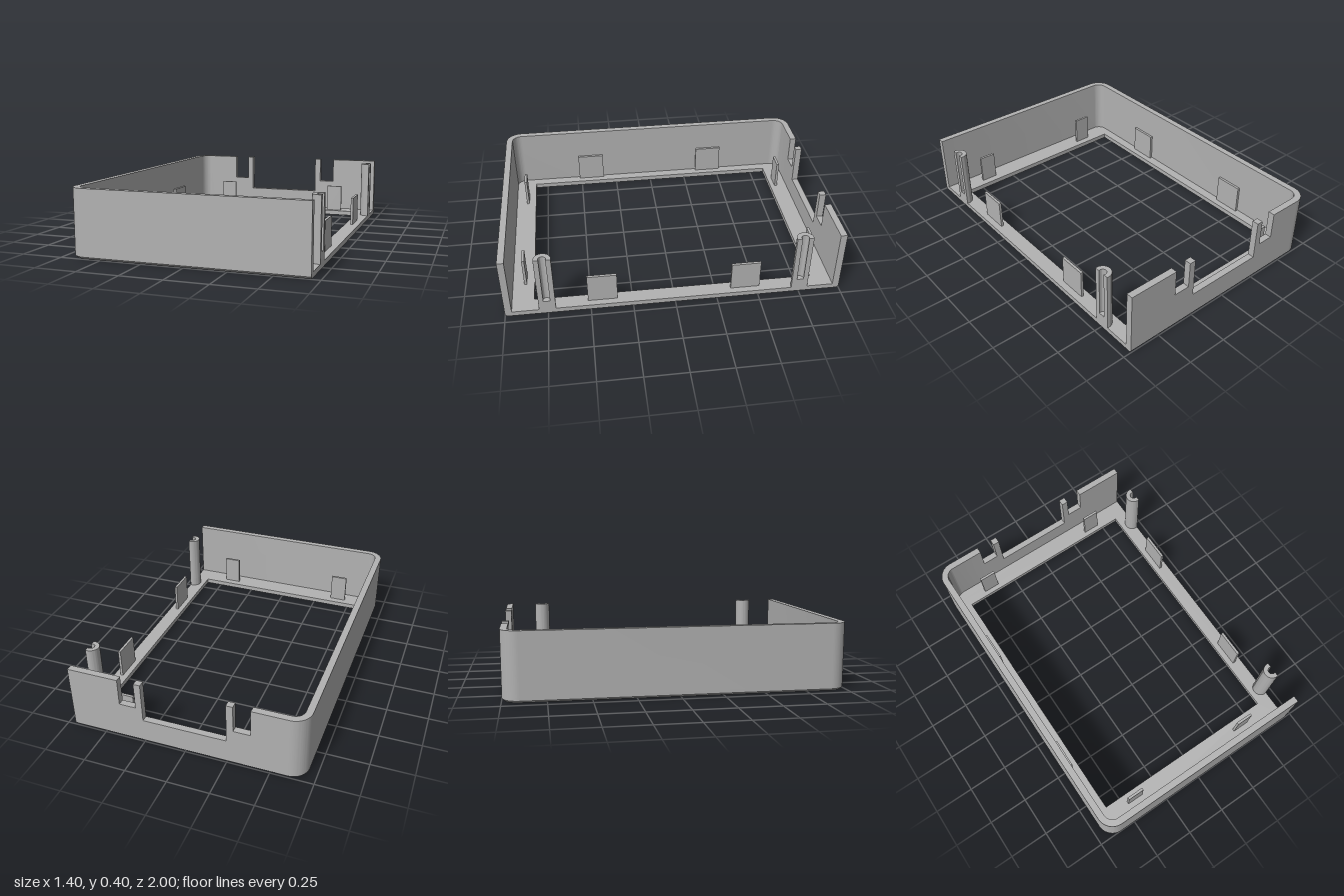
import * as THREE from 'three';
import { toCreasedNormals } from 'three/addons/utils/BufferGeometryUtils.js';

const H = 0.4, FLOOR = 0.03, CHAMFER = 0.012;
const CX = -0.6, CZ = 0.9, R = 0.1, RI = 0.06; // rounded corner centres and radii

// Extrude a plan shape (shape y = -z) upward from y0 to y1
function extrudeUp(shape, y0, y1) {
  const g = new THREE.ExtrudeGeometry(shape, { depth: y1 - y0, bevelEnabled: false, curveSegments: 16 });
  g.rotateX(-Math.PI / 2);
  g.translate(0, y0, 0);
  return g;
}

function polygon(points) {
  return new THREE.Shape(points.map(([x, y]) => new THREE.Vector2(x, y)));
}

// Frame plan: two rounded corners on one side, straight cut on the other, large window
function framePlan() {
  const s = new THREE.Shape();
  s.moveTo(0.7, -1);
  s.lineTo(CX, -1);
  s.absarc(CX, -CZ, R, -Math.PI / 2, -Math.PI, true);
  s.absarc(CX, CZ, R, Math.PI, Math.PI / 2, true);
  s.lineTo(0.7, 1);
  s.closePath();
  s.holes.push(polygon([[-0.6, -0.83], [0.608, -0.83], [0.608, 0.845], [-0.6, 0.845]]));
  return s;
}

// Wall plan: front, rounded side and the start of the back
function wallPlan() {
  const s = new THREE.Shape();
  s.moveTo(0.7, -1);
  s.lineTo(CX, -1);
  s.absarc(CX, -CZ, R, -Math.PI / 2, -Math.PI, true);
  s.absarc(CX, CZ, R, Math.PI, Math.PI / 2, true);
  s.lineTo(-0.39, 1);
  s.lineTo(-0.39, 0.96);
  s.absarc(CX, CZ, RI, Math.PI / 2, Math.PI, false);
  s.absarc(CX, -CZ, RI, Math.PI, Math.PI * 1.5, false);
  s.lineTo(0.7, -0.96);
  s.closePath();
  return s;
}

// Round post cut flat on its outer side, optionally with an open bore
function postPlan(bored) {
  const cut = 0.01, r = 0.05, bore = 0.022;
  const a = Math.acos(cut / r), b = Math.acos(cut / bore);
  const s = new THREE.Shape();
  s.absarc(0, 0, r, a, Math.PI * 2 - a, false);
  if (bored) s.absarc(0, 0, bore, Math.PI * 2 - b, b, true);
  s.closePath();
  return s;
}

export function createModel() {
  const group = new THREE.Group();
  group.name = 'halfEnclosure';
  const grey = new THREE.MeshStandardMaterial({ color: 0xb2b2b2 });
  grey.name = 'grey plastic';

  const add = (name, geometry, x = 0, y = 0, z = 0) => {
    const m = new THREE.Mesh(toCreasedNormals(geometry, 0.5), grey);
    m.name = name;
    m.position.set(x, y, z);
    group.add(m);
  };

  // Floor frame with a chamfered lower edge
  add('floorFrame', extrudeUp(framePlan(), CHAMFER, FLOOR));
  const edge = extrudeUp(framePlan(), 0, CHAMFER);
  const p = edge.attributes.position;
  for (let i = 0; i < p.count; i++) {
    if (p.getY(i) > CHAMFER / 2) continue;
    const x = p.getX(i), z = p.getZ(i);
    const cx = Math.max(x, CX), cz = THREE.MathUtils.clamp(z, -CZ, CZ);
    const k = 1 - CHAMFER / R;
    p.setX(i, cx + (x - cx) * k);
    p.setZ(i, cz + (z - cz) * k);
  }
  add('chamferedEdge', edge);

  // Walls
  add('sideWall', extrudeUp(wallPlan(), FLOOR, H));

  // Back wall with two notches, two tabs and a wide opening
  const NOTCH = 0.235, OPEN = 0.155;
  const back = polygon([
    [-0.39, FLOOR], [0.7, FLOOR], [0.7, H], [0.39, H], [0.39, NOTCH], [0.29, NOTCH],
    [0.29, H], [0.25, H], [0.25, OPEN], [-0.25, OPEN], [-0.25, H], [-0.29, H],
    [-0.29, NOTCH], [-0.39, NOTCH],
  ]);
  add('backWall', new THREE.ExtrudeGeometry(back, { depth: 0.04, bevelEnabled: false }), 0, 0, -1);

  // Upright plates on the floor, screw posts on the open side
  const plateH = 0.18, plateY = FLOOR + plateH / 2;
  for (const s of [-1, 1]) {
    for (const x of [-0.648, 0.652]) {
      add('sidePlate', new THREE.BoxGeometry(0.016, plateH, 0.175), x, plateY, s * 0.428);
    }
    for (const x of [-0.418, 0.418]) {
      add('endPlate', new THREE.BoxGeometry(0.106, plateH, 0.016), x, plateY, s * 0.884);
    }
    add('postBase', extrudeUp(postPlan(false), FLOOR, 0.09), 0.69, 0, s * 0.753);
    add('postBore', extrudeUp(postPlan(true), 0.09, H), 0.69, 0, s * 0.753);
  }
  return group;
}
